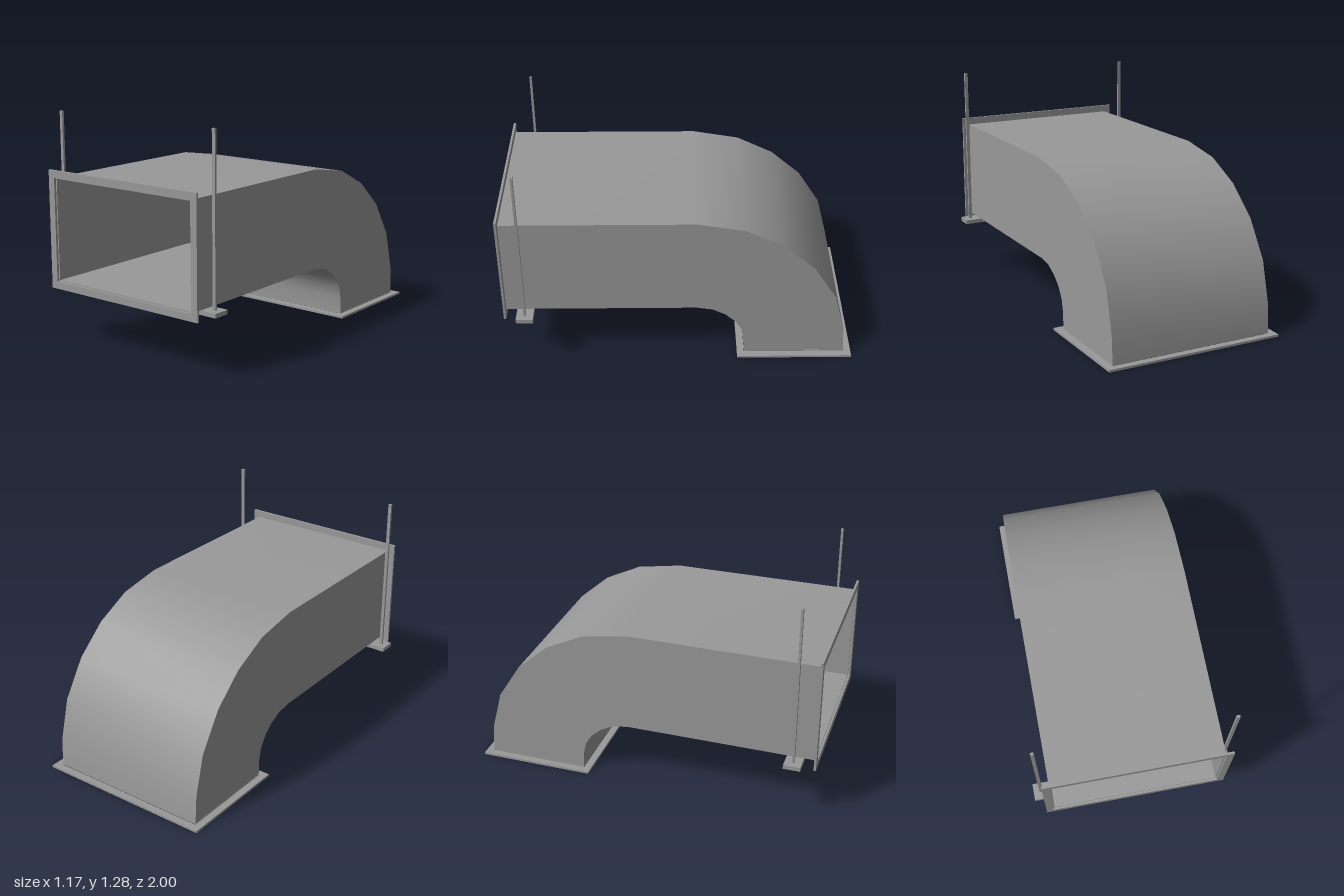
import * as THREE from 'three';
import { mergeGeometries } from 'three/addons/utils/BufferGeometryUtils.js';

const material = new THREE.MeshStandardMaterial({ color: 0x999999 });
const HALF_WIDTH = 0.485, WALL = 0.007, LIP = 0.041, FLANGE = 0.013;

// Duct stations from the front mouth to the floor: [outer z, outer y, inner z, inner y]
const stations = [
  [1 - FLANGE, 0.932, 1 - FLANGE, 0.348],
  [-0.094, 0.932, -0.094, 0.348],
  [-0.361, 0.886, -0.185, 0.334],
  [-0.576, 0.78, -0.26, 0.296],
  [-0.753, 0.624, -0.319, 0.244],
  [-0.886, 0.415, -0.356, 0.185],
  [-0.946, 0.185, -0.372, 0.115],
  [-0.957, FLANGE, -0.376, FLANGE],
];

function addMesh(parent, name, geometry, x = 0, y = 0, z = 0) {
  const mesh = new THREE.Mesh(geometry, material);
  mesh.name = name;
  mesh.position.set(x, y, z);
  parent.add(mesh);
  return mesh;
}

// Surface between two rows of points, smooth along the rows
function strip(p, q) {
  const index = [];
  const n = p.length;
  for (let i = 0; i < n - 1; i++) {
    index.push(i, i + 1, n + i + 1, i, n + i + 1, n + i);
  }
  const g = new THREE.BufferGeometry().setFromPoints([...p, ...q]);
  g.setIndex(index);
  g.computeVertexNormals();
  return g;
}

// Four corners of the rectangular section, shrunk by an inset
function section([z1, y1, z2, y2], inset) {
  const a = new THREE.Vector2(z1, y1), b = new THREE.Vector2(z2, y2);
  const step = b.clone().sub(a).setLength(inset);
  a.add(step);
  b.sub(step);
  const w = HALF_WIDTH - inset;
  return [[w, a], [-w, a], [-w, b], [w, b]].map(([x, c]) => new THREE.Vector3(x, c.y, c.x));
}

// Hollow duct with inner and outer skins and closed rims
function ductGeometry() {
  const outer = stations.map((s) => section(s, 0));
  const inner = stations.map((s) => section(s, WALL));
  const last = stations.length - 1;
  const row = (rings, k) => rings.map((r) => r[k]);
  const parts = [];
  for (let k = 0; k < 4; k++) {
    const n = (k + 1) % 4;
    parts.push(strip(row(outer, k), row(outer, n)));
    parts.push(strip(row(inner, n), row(inner, k)));
    parts.push(strip([outer[0][k], outer[0][n]], [inner[0][k], inner[0][n]]));
    parts.push(strip([inner[last][k], inner[last][n]], [outer[last][k], outer[last][n]]));
  }
  return mergeGeometries(parts);
}

// Rectangular frame around an opening of the given height
function flangeGeometry(height) {
  const rect = (target, w, h) => target.moveTo(-w, -h).lineTo(w, -h).lineTo(w, h).lineTo(-w, h).closePath();
  const shape = rect(new THREE.Shape(), HALF_WIDTH + LIP, height / 2 + LIP);
  shape.holes.push(rect(new THREE.Path(), HALF_WIDTH, height / 2));
  return new THREE.ExtrudeGeometry(shape, { depth: FLANGE, bevelEnabled: false });
}

export function createModel() {
  const model = new THREE.Group();
  model.name = 'ductElbow';

  addMesh(model, 'duct', ductGeometry());

  // Connecting flanges at both mouths
  addMesh(model, 'frontFlange', flangeGeometry(0.584), 0, 0.64, 1 - FLANGE);
  const bottom = addMesh(model, 'bottomFlange', flangeGeometry(0.584), 0, 0, -0.667);
  bottom.rotation.x = -Math.PI / 2;

  // Recessed panel closing the lower mouth
  addMesh(model, 'bottomPanel', new THREE.BoxGeometry(0.972, 0.006, 0.569), 0, 0.018, -0.667);

  // Hanger: cross bar under the duct, carried by two rods
  const hanger = new THREE.Group();
  hanger.name = 'hanger';
  model.add(hanger);
  addMesh(hanger, 'crossBar', new THREE.BoxGeometry(1.166, 0.024, 0.096), 0, 0.336, 0.877);
  for (const side of [1, -1]) {
    addMesh(hanger, side > 0 ? 'leftRod' : 'rightRod',
      new THREE.BoxGeometry(0.019, 0.932, 0.013), side * 0.539, 0.814, 0.877);
  }
  return model;
}
